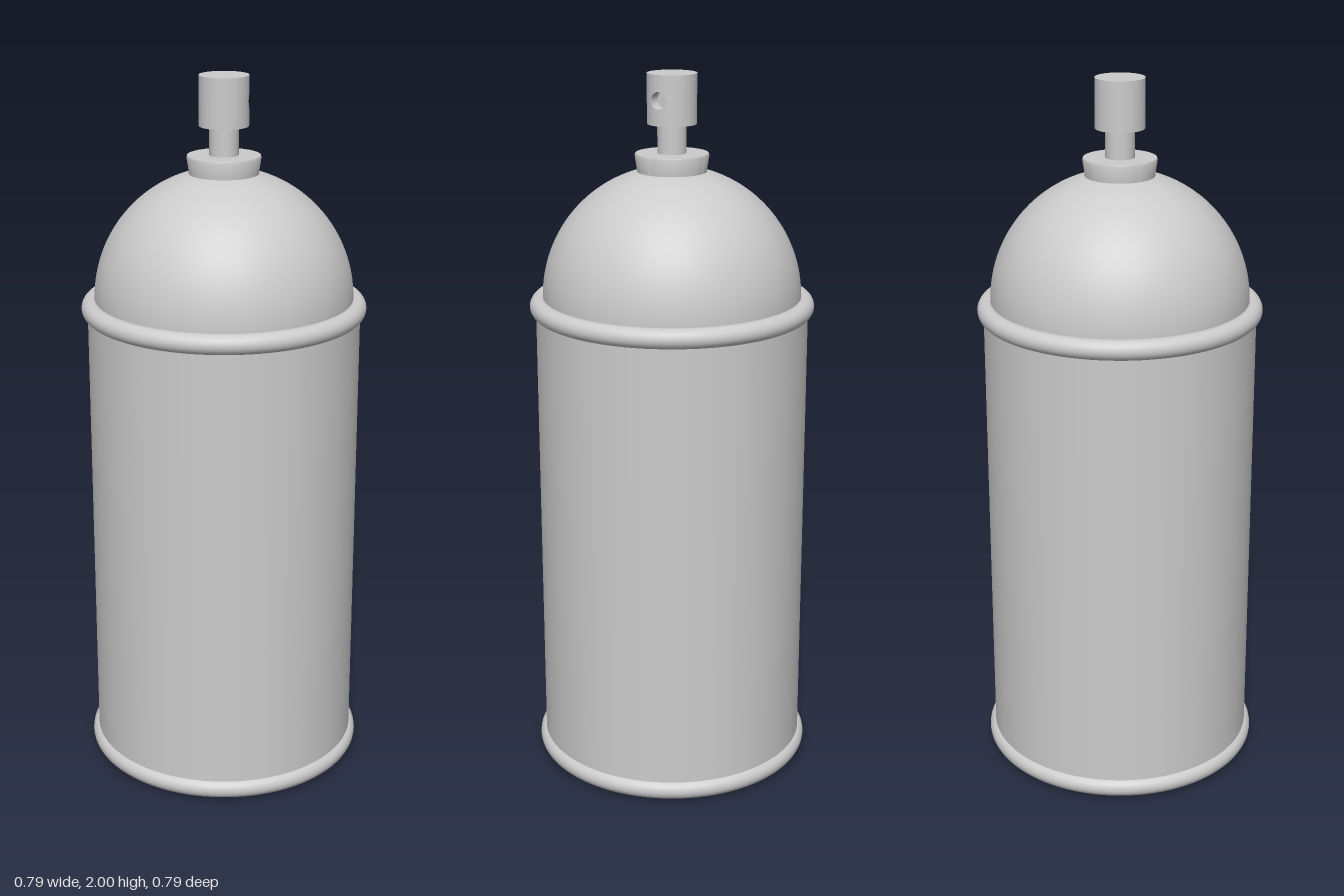
import * as THREE from 'three';
import { toCreasedNormals } from 'three/addons/utils/BufferGeometryUtils.js';
import { ParametricGeometry } from 'three/addons/geometries/ParametricGeometry.js';

const SEG = 96;

export function createModel() {
  const root = new THREE.Group();
  root.name = 'sprayCan';
  const grey = new THREE.MeshStandardMaterial({ color: 0xcccccc });
  const thin = new THREE.MeshStandardMaterial({ color: 0xcccccc, side: THREE.DoubleSide });

  const add = (name, geometry, y = 0, material = grey, parent = root) => {
    const mesh = new THREE.Mesh(geometry, material);
    mesh.name = name;
    mesh.position.y = y;
    parent.add(mesh);
    return mesh;
  };
  // Revolved profile, listed from bottom to top, with sharp edges kept
  const lathe = (points, seg = SEG) => toCreasedNormals(
    new THREE.LatheGeometry(points.map(([r, y]) => new THREE.Vector2(r, y)), seg), 0.6);

  // Can wall, and shallow bulging base inside the lower rim
  add('body', new THREE.CylinderGeometry(0.38, 0.38, 1.33, SEG, 1, true), 0.7, thin);
  const base = [];
  for (let i = 0; i <= 8; i++) base.push([0.365 * i / 8, 0.02 * (i / 8) ** 2]);
  add('base', lathe(base), 0, thin);

  // Rolled rims
  for (const [name, y] of [['bottomRim', 0.037], ['topRim', 1.363]]) {
    add(name, new THREE.TorusGeometry(0.369, 0.028, 20, SEG).rotateX(Math.PI / 2), y);
  }

  // Domed shoulder
  add('shoulder', new THREE.SphereGeometry(0.36, SEG, 32, 0, Math.PI * 2, 0, Math.PI / 2), 1.388);
  add('shoulderSkirt', new THREE.CylinderGeometry(0.36, 0.36, 0.03, SEG, 1, true), 1.373, thin);

  // Valve collar and stem
  add('collar', lathe([[0, 1.72], [0.095, 1.72], [0.096, 1.74], [0.102, 1.78], [0.1, 1.785], [0, 1.785]], 64));
  add('stem', new THREE.CylinderGeometry(0.04, 0.04, 0.11, 48), 1.825);

  // Spray button, with its outlet hole facing +x
  const button = new THREE.Group();
  button.name = 'sprayButton';
  button.position.y = 1.932;
  root.add(button);
  const R = 0.068, H = 0.068, half = 0.7, hole = 0.023;
  add('buttonWall', new THREE.CylinderGeometry(R, R, H * 2, 56, 1, true,
    Math.PI / 2 + half, Math.PI * 2 - 2 * half), 0, thin, button);
  for (const s of [1, -1]) {
    add(s > 0 ? 'buttonTop' : 'buttonUnderside',
      new THREE.CircleGeometry(R, 64).rotateX(-s * Math.PI / 2), s * H, grey, button);
  }
  // Curved wall panel spread from the round hole out to a rectangle
  const panel = new ParametricGeometry((u, v, target) => {
    const t = u * Math.PI * 2, c = Math.cos(t), s = Math.sin(t);
    const k = 1 / Math.max(Math.abs(c), Math.abs(s));
    const a = THREE.MathUtils.lerp(Math.asin(hole * c / R), half * c * k, v);
    const y = THREE.MathUtils.lerp(hole * s, H * s * k, v);
    target.set(R * Math.cos(a), y, -R * Math.sin(a));
  }, 64, 8);
  add('outletPanel', panel, 0, thin, button);
  // Hole lining follows the curved wall inward to a flat floor
  const lining = new ParametricGeometry((u, v, target) => {
    const t = u * Math.PI * 2, z = hole * Math.cos(t);
    target.set(THREE.MathUtils.lerp(Math.sqrt(R * R - z * z), 0.035, v), hole * Math.sin(t), -z);
  }, 64, 1);
  add('outletLining', lining, 0, thin, button);
  add('outletFloor', new THREE.CircleGeometry(hole, 32).rotateY(Math.PI / 2), 0, grey, button).position.x = 0.035;

  return root;
}
